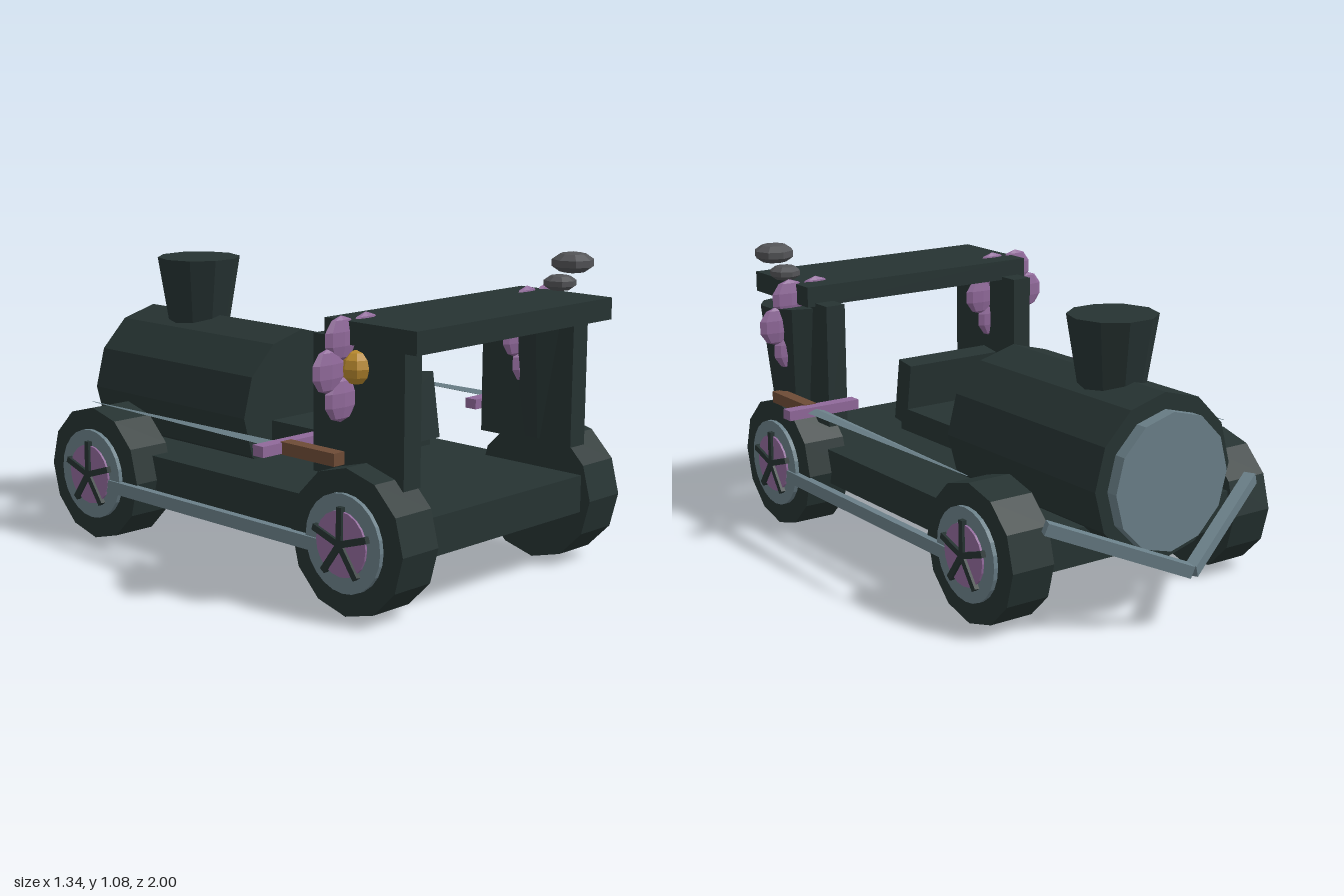
import * as THREE from 'three';

const mat = (name, color) => {
  const m = new THREE.MeshStandardMaterial({ color, flatShading: true });
  m.name = name;
  return m;
};

export function createModel() {
  const dark = mat('darkIron', 0x263332);
  const steel = mat('blueSteel', 0x6a7f88);
  const purple = mat('purple', 0x90699a);
  const brown = mat('brownGrip', 0x6e4b36);
  const gold = mat('gold', 0xb98a2e);
  const smoke = mat('smokeGrey', 0x535457);

  const root = new THREE.Group();
  root.name = 'steamCar';

  const add = (name, geo, m, x = 0, y = 0, z = 0, parent = root) => {
    const mesh = new THREE.Mesh(geo, m);
    mesh.name = name;
    mesh.position.set(x, y, z);
    parent.add(mesh);
    return mesh;
  };
  const box = (w, h, d) => new THREE.BoxGeometry(w, h, d);
  // Cylinder lying along x
  const disc = (r, w, n) => new THREE.CylinderGeometry(r, r, w, n).rotateZ(Math.PI / 2);
  // Square bar between two points
  const bar = (name, a, b, t, m) => {
    const p = new THREE.Vector3(...a), q = new THREE.Vector3(...b);
    const mid = p.clone().add(q).multiplyScalar(0.5);
    const mesh = add(name, box(t, t, p.distanceTo(q)), m, mid.x, mid.y, mid.z);
    mesh.lookAt(q);
    return mesh;
  };

  // Chassis and boiler
  add('chassis', box(0.93, 0.13, 1.68), dark, 0, 0.265, 0.12);
  add('boiler', new THREE.CylinderGeometry(0.288, 0.288, 0.83, 12).rotateX(Math.PI / 2), dark, 0, 0.482, -0.415);
  add('boilerCap', new THREE.CylinderGeometry(0.238, 0.238, 0.05, 12).rotateX(Math.PI / 2), steel, 0, 0.475, -0.85);
  add('funnel', new THREE.CylinderGeometry(0.156, 0.115, 0.25, 10).rotateY(Math.PI / 2), dark, 0, 0.857, -0.557);

  // Seat with leaning backrest
  add('seat', box(0.39, 0.085, 0.4), dark, 0, 0.428, 0.245);
  add('backrest', box(0.39, 0.235, 0.08), dark, 0, 0.53, 0.433).rotation.x = -0.15;

  // Cab roof
  add('roof', box(0.99, 0.075, 0.39), dark, 0, 0.9, 0.795);

  // Side chimney with smoke puffs
  add('sideChimney', new THREE.CylinderGeometry(0.132, 0.085, 0.42, 10), dark, 0.462, 0.642, 0.75);
  [[0.475, 0.905, 0.75, 0.042], [0.49, 0.967, 0.773, 0.06], [0.515, 1.038, 0.807, 0.077]].forEach(([x, y, z, r]) => {
    add('smokePuff', new THREE.SphereGeometry(r, 8, 5).scale(1, 0.5, 1), smoke, x, y, z);
  });

  for (const s of [-1, 1]) {
    // Cab side wall
    add('cabWall', box(0.078, 0.455, 0.395), dark, s * 0.425, 0.6475, 0.718);

    // Wheels with rim, hub and five spokes
    for (const z of [0.757, -0.513]) {
      const wheel = new THREE.Group();
      wheel.name = 'wheel';
      wheel.position.set(s * 0.475, 0.243, z);
      root.add(wheel);
      add('tyre', disc(0.243, 0.165, 12), dark, 0, 0, 0, wheel);
      add('rim', disc(0.163, 0.02, 24), steel, s * 0.088, 0, 0, wheel);
      add('hub', disc(0.108, 0.012, 20), purple, s * 0.1, 0, 0, wheel);
      for (let i = 0; i < 5; i++) {
        const spoke = add('spoke', box(0.02, 0.122, 0.022).translate(0, 0.061, 0), dark, s * 0.106, 0, 0, wheel);
        spoke.rotation.x = (i * Math.PI * 2) / 5;
      }
    }
    add('couplingRod', box(0.028, 0.045, 1.08), steel, s * 0.566, 0.217, 0.125);

    // Sword laid along the side
    const sword = new THREE.Group();
    sword.name = 'sword';
    sword.position.set(s * 0.56, 0.51, 0);
    root.add(sword);
    add('grip', box(0.048, 0.042, 0.24), brown, 0, 0, 0.61, sword);
    add('guard', box(0.288, 0.036, 0.048), purple, -s * 0.036, 0, 0.474, sword);
    const blade = new THREE.CylinderGeometry(0.003, 0.035, 0.96, 4)
      .rotateX(-Math.PI / 2).scale(1, 0.3, 1);
    add('blade', blade, steel, 0, 0, -0.03, sword);

    // Flower on the cab wall
    const flower = new THREE.Group();
    flower.name = 'flower';
    flower.position.set(s * 0.463, 0.787, 0.695);
    root.add(flower);
    for (let i = 0; i < 6; i++) {
      const a = (i * Math.PI) / 3;
      add('petal', new THREE.SphereGeometry(0.073, 8, 5).scale(1, 1, 0.27), purple,
        Math.cos(a) * 0.112, Math.sin(a) * 0.112, 0, flower);
    }
    add('flowerCentre', new THREE.SphereGeometry(0.056, 8, 6), gold, 0, 0, 0.015, flower);

    // Bumper bar meeting its twin in a point
    bar('bumperBar', [s * 0.445, 0.383, -0.775], [0, 0.2, -0.975], 0.042, steel);
  }

  return root;
}
